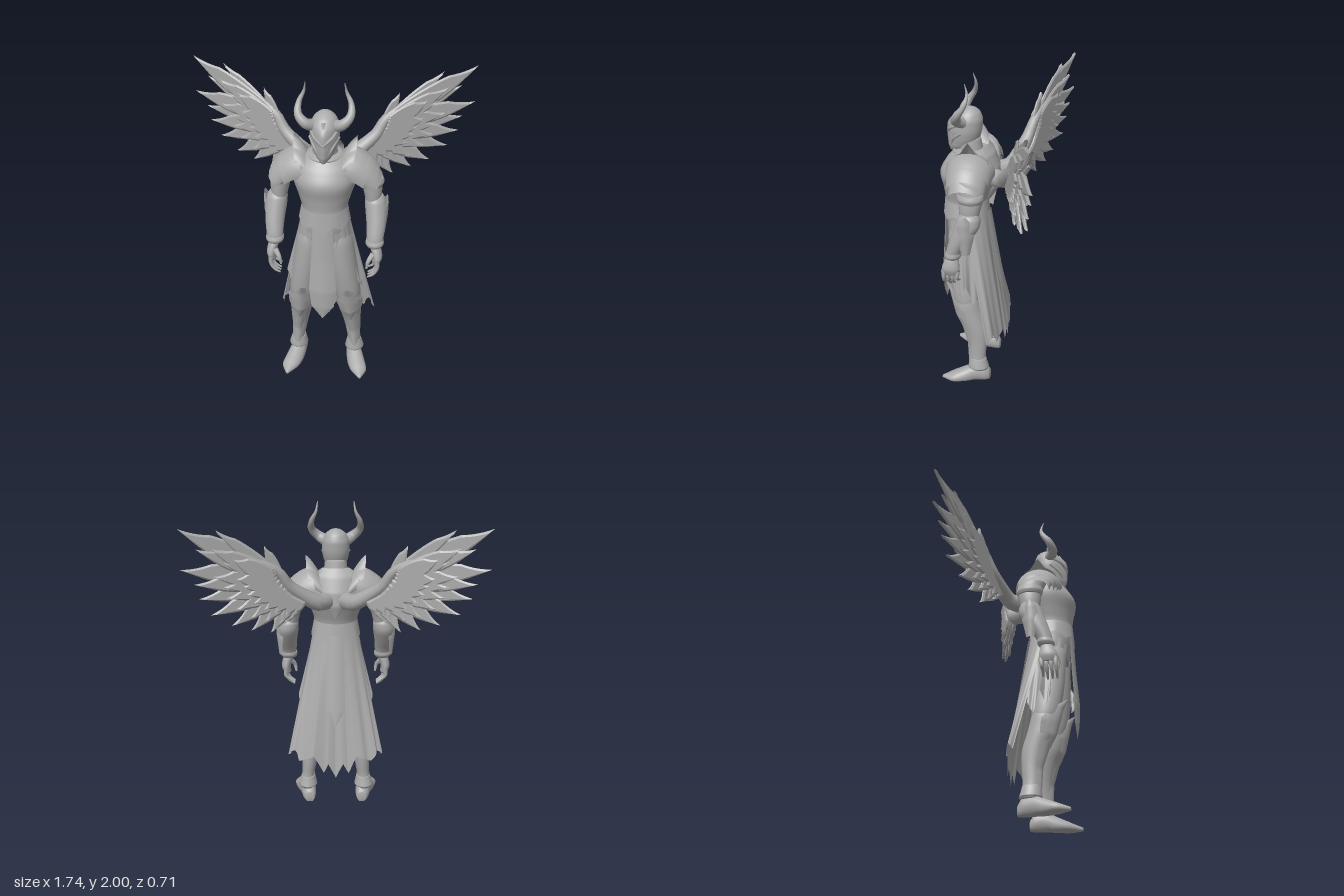
import * as THREE from 'three';
import { ParametricGeometry } from 'three/addons/geometries/ParametricGeometry.js';

const steel = new THREE.MeshStandardMaterial({ color: 0xaaaaaa, side: THREE.DoubleSide });
steel.name = 'grey steel';
const V = (p) => new THREE.Vector3(...p);
const lerp = THREE.MathUtils.lerp;

function add(parent, name, geometry) {
  const m = new THREE.Mesh(geometry, steel);
  m.name = name;
  parent.add(m);
  return m;
}

// Smooth closed body through ellipses [x, y, z, rx, rz], listed from bottom to top
function loft(sections, seg = 28, steps = 5) {
  const mid = new THREE.CatmullRomCurve3(sections.map((s) => V(s)));
  const rad = new THREE.CatmullRomCurve3(sections.map((s) => V([s[3], s[4], 0])));
  const n = (sections.length - 1) * steps, pos = [], idx = [];
  for (let i = 0; i <= n; i++) {
    const c = mid.getPoint(i / n), r = rad.getPoint(i / n);
    for (let j = 0; j < seg; j++) {
      const a = (j / seg) * Math.PI * 2;
      pos.push(c.x + Math.max(r.x, 0.001) * Math.cos(a), c.y, c.z + Math.max(r.y, 0.001) * Math.sin(a));
      if (i < n) {
        const k = (j + 1) % seg, p = i * seg;
        idx.push(p + j, p + seg + j, p + k, p + k, p + seg + j, p + seg + k);
      }
    }
  }
  for (const [row, flip] of [[0, 0], [n, 1]]) {
    const c = mid.getPoint(row / n), at = pos.length / 3;
    pos.push(c.x, c.y, c.z);
    for (let j = 0; j < seg; j++) {
      const a = row * seg + j, b = row * seg + (j + 1) % seg;
      idx.push(at, flip ? b : a, flip ? a : b);
    }
  }
  const g = new THREE.BufferGeometry();
  g.setAttribute('position', new THREE.Float32BufferAttribute(pos, 3));
  g.setIndex(idx);
  g.computeVertexNormals();
  return g;
}

// Tube along points that narrows from r0 to r1
function taper(points, r0, r1, seg = 10) {
  const curve = new THREE.CatmullRomCurve3(points.map(V)), n = 20;
  const g = new THREE.TubeGeometry(curve, n, 1, seg), p = g.attributes.position, v = new THREE.Vector3();
  for (let i = 0; i < p.count; i++) {
    const t = Math.floor(i / (seg + 1)) / n, c = curve.getPointAt(t);
    v.fromBufferAttribute(p, i).sub(c).multiplyScalar(lerp(r0, r1, t)).add(c);
    p.setXYZ(i, v.x, v.y, v.z);
  }
  return g;
}

// Curved plate through rows [x, y, z, halfWidth]; a negative bend makes it face the back
function plate(rows, bend) {
  return new ParametricGeometry((u, v, out) => {
    const f = v * (rows.length - 1), i = Math.min(Math.floor(f), rows.length - 2), s = (1 - u * 2) * Math.sign(bend);
    const r = rows[i].map((a, k) => lerp(a, rows[i + 1][k], f - i));
    out.set(r[0] + s * r[3], r[1], r[2] - bend * s * s * r[3]);
  }, 12, (rows.length - 1) * 4);
}

// Cloth hung round an ellipse, top and low are [y, rx, rz, cz]; angle 0 is the front
function skirt(a0, a1, top, low, hem, fold = 0) {
  return new ParametricGeometry((u, v, out) => {
    const d = lerp(a1, a0, u), a = THREE.MathUtils.degToRad(d);
    const k = 1 + fold * v * Math.sin(d * 0.3);
    out.set(lerp(top[1], low[1], v) * k * Math.sin(a), lerp(top[0], hem(d), v),
      lerp(top[3], low[3], v) + lerp(top[2], low[2], v) * k * Math.cos(a));
  }, 80, 14);
}

// Piecewise linear lookup in [key, value] pairs
function along(table, x) {
  const i = Math.max(1, table.findIndex((e) => e[0] >= x)), a = table[i - 1], b = table[i];
  return lerp(a[1], b[1], (x - a[0]) / (b[0] - a[0]));
}

// Pointed feather in the swept-back wing plane
function feather(x0, y0, x1, y1, w, off) {
  const len = Math.hypot(x1 - x0, y1 - y0), s = new THREE.Shape();
  s.moveTo(0, -w * 0.4);
  s.quadraticCurveTo(len * 0.45, -w * 0.7, len * 0.76, -w * 0.32);
  s.lineTo(len, 0);
  s.quadraticCurveTo(len * 0.83, w * 0.08, len * 0.7, w * 0.38);
  s.quadraticCurveTo(len * 0.4, w * 0.6, 0, w * 0.4);
  const g = new THREE.ExtrudeGeometry(s, { depth: 0.006, bevelThickness: 0.007, bevelSize: 0.01, bevelOffset: -0.01, bevelSegments: 1, curveSegments: 6 });
  g.rotateZ(Math.atan2(y1 - y0, x1 - x0)).translate(x0, y0, off);
  const p = g.attributes.position;
  for (let i = 0; i < p.count; i++) p.setZ(i, p.getZ(i) - 0.04 - 0.35 * p.getX(i));
  g.computeVertexNormals();
  return g;
}

function buildWing(side) {
  const wing = new THREE.Group();
  wing.name = 'wing';
  side.add(wing);
  add(wing, 'wingArm', taper([[0.06, 1.42, 0.02], [0.11, 1.43, -0.05], [0.2, 1.49, -0.095], [0.28, 1.56, -0.13],
    [0.335, 1.65, -0.16], [0.42, 1.705, -0.19], [0.6, 1.775, -0.25]], 0.056, 0.012));
  const f = [[0.33, 1.63, 0.41, 1.81, 0.06], [0.38, 1.68, 0.5, 1.77, 0.05], [0.38, 1.67, 0.67, 1.92, 0.07], [0.37, 1.65, 0.87, 1.94, 0.12],
    [0.36, 1.64, 0.78, 1.82, 0.11], [0.35, 1.62, 0.87, 1.71, 0.12], [0.34, 1.6, 0.8, 1.62, 0.11],
    [0.32, 1.58, 0.78, 1.53, 0.11], [0.3, 1.56, 0.72, 1.43, 0.1], [0.28, 1.54, 0.61, 1.35, 0.1],
    [0.26, 1.52, 0.5, 1.31, 0.09], [0.23, 1.5, 0.39, 1.28, 0.08], [0.2, 1.48, 0.31, 1.33, 0.07]];
  f.forEach(([x0, y0, x1, y1, w], i) => {
    add(wing, 'longFeather', feather(x0, y0, x1, y1, w, (i % 2) * 0.008 - 0.006));
    // Shorter feathers cover the roots on both faces
    if (i > 2) for (const [k, off] of [[0.66, 0.01], [0.66, -0.02], [0.42, 0.02], [0.42, -0.03]])
      add(wing, 'shortFeather', feather(x0, y0 - 0.01, lerp(x0, x1, k), lerp(y0, y1, k) - 0.02, w * 0.85, off));
  });
}

function buildArm(side) {
  // Overlapping shoulder plates [x0, y0, x1, y1, half depth, drop]
  [[0.1, 1.56, 0.185, 1.61, 0.14, 0.1], [0.15, 1.595, 0.265, 1.54, 0.148, 0.12],
    [0.225, 1.565, 0.315, 1.485, 0.13, 0.1], [0.265, 1.51, 0.335, 1.43, 0.105, 0.06]].forEach(([x0, y0, x1, y1, r, h], i) =>
    add(side, 'shoulderPlate', new ParametricGeometry((u, v, out) => {
      const a = (u * 2 - 1) * 1.75, spike = i === 0 ? 0.065 * v * Math.max(0, 1 - Math.abs(a) * 2.5) : 0;
      out.set(lerp(x0, x1, v) - 0.03 * (1 - Math.cos(a)), lerp(y0, y1, v) - h * (1 - Math.cos(a)) + 0.012 * Math.sin(v * 3.1) + spike,
        0.145 + r * (1 - 0.12 * v) * Math.sin(a));
    }, 28, 6)));
  add(side, 'upperArm', loft([[0.285, 1.24, 0.12, 0.045, 0.055], [0.28, 1.31, 0.115, 0.056, 0.066],
    [0.268, 1.38, 0.11, 0.062, 0.078], [0.24, 1.48, 0.13, 0.07, 0.09], [0.2, 1.55, 0.14, 0.04, 0.05]]));
  add(side, 'armRing', loft([[0.28, 1.35, 0.112, 0.06, 0.072], [0.277, 1.375, 0.112, 0.07, 0.082], [0.272, 1.4, 0.112, 0.066, 0.08]]));
  add(side, 'forearm', loft([[0.305, 0.99, 0.215, 0.048, 0.043], [0.306, 1.03, 0.208, 0.051, 0.048], [0.308, 1.12, 0.165, 0.06, 0.065],
    [0.303, 1.2, 0.128, 0.066, 0.075], [0.297, 1.25, 0.118, 0.062, 0.068], [0.295, 1.28, 0.115, 0.045, 0.05]]));
  const guard = add(side, 'elbowGuard', plate([[0, 0.14, -0.002, 0.003], [0, 0.09, 0.004, 0.04], [0, 0.01, 0.002, 0.055], [0, -0.12, -0.012, 0.025]], 0.6));
  guard.position.set(0.374, 1.15, 0.125);
  guard.rotation.set(0, 1.75, 0);
  add(side, 'cuff', loft([[0.305, 0.98, 0.22, 0.046, 0.042], [0.305, 1.0, 0.216, 0.056, 0.052], [0.305, 1.02, 0.212, 0.053, 0.049]]));
  add(side, 'palm', loft([[0.318, 0.87, 0.23, 0.024, 0.045], [0.325, 0.91, 0.23, 0.03, 0.055], [0.315, 0.96, 0.225, 0.032, 0.045], [0.305, 0.99, 0.22, 0.03, 0.035]]));
  for (let i = 0; i < 4; i++) {
    const z = 0.19 + i * 0.028, d = i === 0 ? 0.02 : 0;
    add(side, 'finger', taper([[0.325, 0.9, z], [0.325, 0.85, z + 0.002], [0.305, 0.81 + d, z + 0.004], [0.27, 0.785 + d, z]], 0.017, 0.006, 8));
  }
  add(side, 'thumb', taper([[0.3, 0.94, 0.255], [0.272, 0.9, 0.28], [0.262, 0.85, 0.28]], 0.02, 0.007, 8));
}

function buildLeg(side) {
  add(side, 'thigh', loft([[0.15, 0.5, 0.16, 0.065, 0.07], [0.142, 0.62, 0.18, 0.082, 0.085], [0.118, 0.8, 0.19, 0.085, 0.1], [0.09, 1.0, 0.19, 0.085, 0.11], [0.08, 1.1, 0.19, 0.06, 0.09]]));
  add(side, 'greave', loft([[0.19, 0.09, 0.09, 0.05, 0.058], [0.186, 0.17, 0.1, 0.042, 0.052], [0.175, 0.28, 0.1, 0.05, 0.06],
    [0.165, 0.38, 0.115, 0.062, 0.075], [0.155, 0.48, 0.15, 0.075, 0.085], [0.15, 0.56, 0.17, 0.078, 0.085], [0.148, 0.62, 0.175, 0.07, 0.075]]));
  add(side, 'ankleFlare', loft([[0.188, 0.1, 0.095, 0.062, 0.068], [0.187, 0.13, 0.098, 0.055, 0.062], [0.185, 0.17, 0.1, 0.044, 0.054]]));
  add(side, 'kneePlate', plate([[0.14, 0.7, 0.315, 0.002], [0.145, 0.64, 0.288, 0.05], [0.15, 0.56, 0.268, 0.09], [0.157, 0.48, 0.248, 0.08], [0.168, 0.39, 0.205, 0.004]], 1.1));
  add(side, 'shinRidge', plate([[0.155, 0.5, 0.245, 0.07], [0.168, 0.4, 0.205, 0.058], [0.18, 0.28, 0.168, 0.042], [0.188, 0.14, 0.16, 0.034]], 0.9));
  // Pointed boot, flat underneath
  const boot = loft([[0.175, 0.02, -0.03, 0.03, 0.035], [0.18, 0.05, -0.045, 0.045, 0.06], [0.188, 0.11, -0.05, 0.052, 0.065],
    [0.205, 0.18, -0.03, 0.058, 0.055], [0.225, 0.25, -0.02, 0.055, 0.036], [0.24, 0.33, -0.012, 0.008, 0.01]]).rotateX(Math.PI / 2);
  const p = boot.attributes.position;
  for (let i = 0; i < p.count; i++) p.setY(i, Math.max(0, p.getY(i)));
  boot.computeVertexNormals();
  add(side, 'boot', boot);
  // Hip cloth over the thigh
  const hem = [[24, 0.86], [38, 0.76], [50, 0.82], [72, 0.64], [88, 0.74], [105, 0.6], [125, 0.68]];
  add(side, 'hipCloth', skirt(24, 125, [1.16, 0.142, 0.135, 0.19], [0.7, 0.235, 0.14, 0.155], (d) => along(hem, d), 0.04));
}

function buildHead(parent) {
  const skull = loft([[0, 1.555, 0.235, 0.02, 0.03], [0, 1.59, 0.215, 0.056, 0.062], [0, 1.64, 0.198, 0.076, 0.083], [0, 1.7, 0.19, 0.086, 0.092],
    [0, 1.755, 0.184, 0.084, 0.09], [0, 1.8, 0.178, 0.064, 0.07], [0, 1.825, 0.172, 0.034, 0.036], [0, 1.835, 0.17, 0.004, 0.004]]);
  // Pull the face forward into a keel
  const p = skull.attributes.position;
  for (let i = 0; i < p.count; i++) {
    const x = p.getX(i), z = p.getZ(i), y = p.getY(i);
    if (z > 0.2) p.setZ(i, z + 0.03 * Math.max(0, 1 - Math.abs(x) / 0.06) * THREE.MathUtils.smoothstep(1.8 - y, 0, 0.08));
  }
  skull.computeVertexNormals();
  add(parent, 'helmet', skull);
  add(parent, 'neck', loft([[0, 1.5, 0.17, 0.09, 0.09], [0, 1.57, 0.17, 0.075, 0.075], [0, 1.65, 0.18, 0.065, 0.07]]));
  add(parent, 'noseKeel', taper([[0, 1.79, 0.255], [0, 1.71, 0.298], [0, 1.6, 0.285]], 0.012, 0.006, 6));
  for (const s of [1, -1]) {
    add(parent, 'brow', taper([[0, 1.67, 0.305], [s * 0.05, 1.71, 0.278], [s * 0.086, 1.75, 0.2]], 0.011, 0.008, 6));
    add(parent, 'cheekGuard', taper([[s * 0.012, 1.58, 0.28], [s * 0.048, 1.64, 0.266], [s * 0.084, 1.69, 0.21]], 0.01, 0.009, 6));
    add(parent, 'horn', taper([[s * 0.055, 1.75, 0.2], [s * 0.105, 1.775, 0.232], [s * 0.147, 1.82, 0.215], [s * 0.147, 1.88, 0.175], [s * 0.12, 1.94, 0.16], [s * 0.11, 2, 0.175]], 0.038, 0.002, 14));
  }
}

export function createModel() {
  const model = new THREE.Group();
  model.name = 'wingedKnight';
  // Breastplate and waist
  add(model, 'torso', loft([[0, 1.0, 0.19, 0.14, 0.11], [0, 1.14, 0.2, 0.142, 0.13], [0, 1.24, 0.2, 0.138, 0.13], [0, 1.33, 0.19, 0.16, 0.15],
    [0, 1.43, 0.178, 0.19, 0.178], [0, 1.51, 0.165, 0.18, 0.15], [0, 1.56, 0.16, 0.125, 0.11], [0, 1.58, 0.16, 0.09, 0.085]], 40));
  const belt = [[0, 1.1], [22, 1.16], [45, 1.13], [70, 1.17], [100, 1.14], [130, 1.17], [180, 1.1]];
  add(model, 'belt', skirt(-180, 180, [1.25, 0.138, 0.134, 0.2], [1.12, 0.157, 0.147, 0.197], (d) => along(belt, Math.abs(d))));
  const collar = add(model, 'collar', new THREE.TorusGeometry(0.095, 0.014, 10, 32));
  collar.rotation.x = Math.PI / 2;
  collar.position.set(0, 1.56, 0.17);
  add(model, 'backPlate', plate([[0, 1.61, 0.06, 0.08], [0, 1.57, 0.025, 0.1], [0, 1.48, -0.008, 0.1], [0, 1.4, -0.015, 0.07], [0, 1.3, 0.015, 0.004]], -0.3));
  // Cloth strips and torn cape
  add(model, 'frontTabard', plate([[0, 1.16, 0.338, 0.06], [0, 0.95, 0.347, 0.07], [0, 0.72, 0.364, 0.083], [0, 0.59, 0.358, 0.07], [0, 0.5, 0.345, 0.003]], 0.25));
  add(model, 'backTabard', plate([[0, 1.18, 0.05, 0.05], [0, 0.95, 0.012, 0.055], [0, 0.7, -0.03, 0.06], [0, 0.6, -0.045, 0.003]], -0.2));
  const hem = [[0, 0.23], [0.1, 0.33], [0.17, 0.26], [0.3, 0.38], [0.55, 0.34], [0.7, 0.41], [1, 0.36]];
  add(model, 'cape', skirt(90, 270, [1.18, 0.143, 0.125, 0.19], [0.3, 0.305, 0.08, 0.015], (d) => along(hem, Math.abs(d - 180) / 90), 0.03));
  buildHead(model);
  // Mirrored limbs and wings
  for (const s of [1, -1]) {
    const side = new THREE.Group();
    side.name = s > 0 ? 'leftSide' : 'rightSide';
    side.scale.x = s;
    buildWing(side);
    buildArm(side);
    buildLeg(side);
    model.add(side);
  }
  return model;
}
